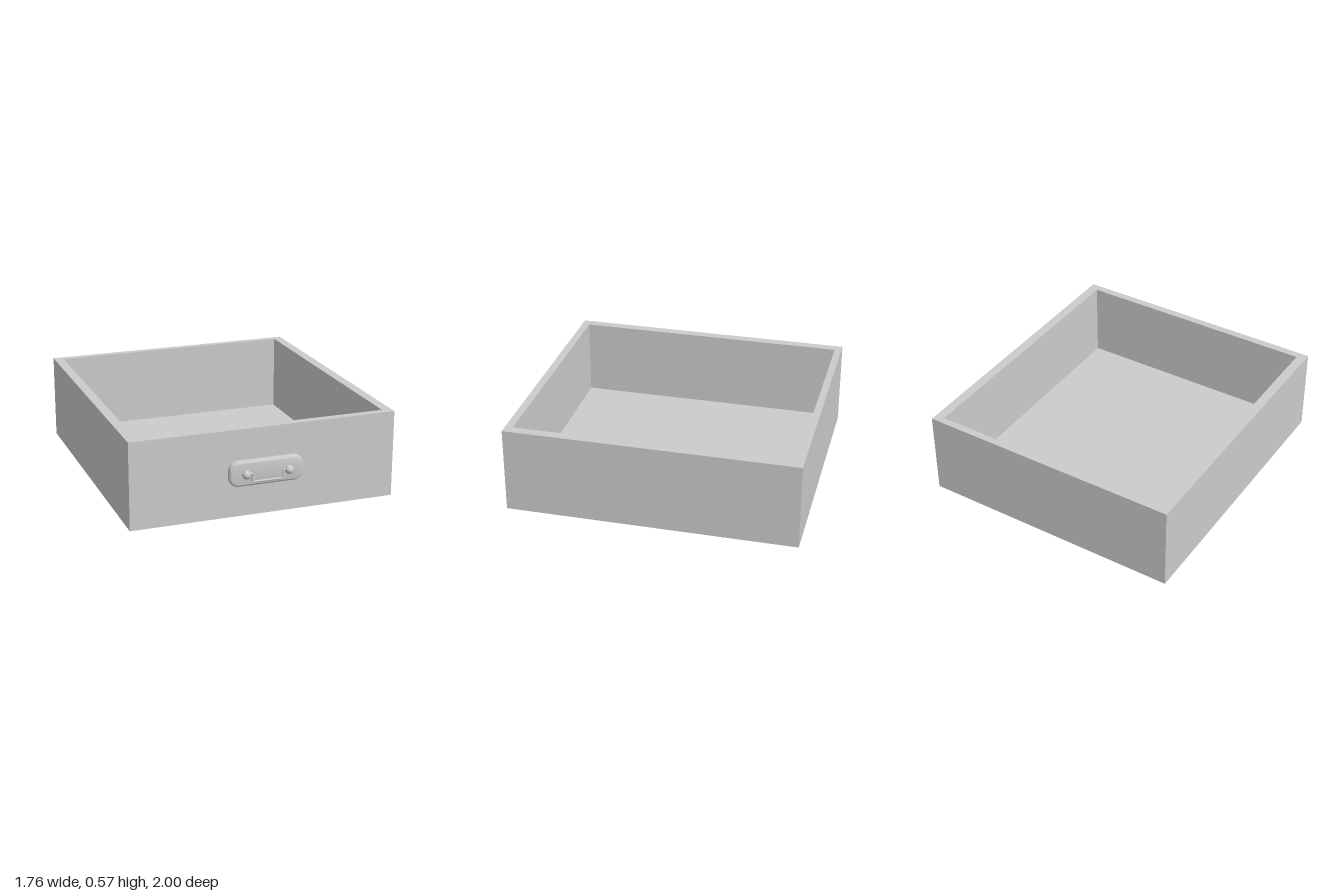
import * as THREE from 'three';
import { toCreasedNormals } from 'three/addons/utils/BufferGeometryUtils.js';

const material = new THREE.MeshStandardMaterial({ color: 0xcccccc });

function part(name, geometry) {
  const mesh = new THREE.Mesh(geometry, material);
  mesh.name = name;
  return mesh;
}

// One rectangular ring of corners at height y, counter-clockwise from above
const ring = (halfX, back, front, y) => [
  [-halfX, y, front], [halfX, y, front], [halfX, y, back], [-halfX, y, back],
];

// Open tray: rings run up the outside, over the rim and down the inside
function trayGeometry() {
  const outer = [0.882, -1, 0.922], inner = [0.818, -0.953, 0.87];
  const rings = [ring(...outer, 0), ring(...outer, 0.573), ring(...inner, 0.573), ring(...inner, 0.05)];
  const positions = [];
  const quad = (a, b, c, d) => positions.push(...a, ...b, ...c, ...a, ...c, ...d);
  for (let i = 0; i < 3; i++) {
    for (let j = 0; j < 4; j++) {
      const k = (j + 1) % 4;
      quad(rings[i][j], rings[i][k], rings[i + 1][k], rings[i + 1][j]);
    }
  }
  quad(...rings[3]);                 // floor
  quad(...[...rings[0]].reverse());  // underside
  const geometry = new THREE.BufferGeometry();
  geometry.setAttribute('position', new THREE.Float32BufferAttribute(positions, 3));
  geometry.computeVertexNormals();
  return geometry;
}

// Rounded plate with a soft front edge; its back edge is sunk in the drawer front
function plateGeometry() {
  const bevel = 0.016, w = 0.247 - bevel, h = 0.083 - bevel, r = 0.046;
  const shape = new THREE.Shape();
  shape.absarc(w - r, h - r, r, 0, Math.PI / 2);
  shape.absarc(-w + r, h - r, r, Math.PI / 2, Math.PI);
  shape.absarc(-w + r, -h + r, r, Math.PI, Math.PI * 1.5);
  shape.absarc(w - r, -h + r, r, Math.PI * 1.5, Math.PI * 2);
  shape.closePath();
  const geometry = new THREE.ExtrudeGeometry(shape, {
    depth: 0.03, bevelThickness: bevel, bevelSize: bevel, bevelSegments: 5, curveSegments: 10,
  });
  geometry.translate(0, 0, 0.957 - 0.03 - bevel);
  return toCreasedNormals(geometry, 0.7);
}

// Bail: a thin wire leaving each knob, bending down and running across
function bailGeometry() {
  const v = (x, y) => new THREE.Vector3(x, y, 0.974);
  const corners = [v(-0.142, 0.006), v(-0.102, 0.006), v(-0.102, -0.049),
    v(0.102, -0.049), v(0.102, 0.006), v(0.142, 0.006)];
  const path = new THREE.CurvePath();
  const bend = 0.012;
  let from = corners[0];
  for (let i = 1; i < corners.length - 1; i++) {
    const c = corners[i];
    const toward = (p) => c.clone().add(p.clone().sub(c).setLength(bend));
    const start = toward(corners[i - 1]), end = toward(corners[i + 1]);
    path.add(new THREE.LineCurve3(from, start));
    path.add(new THREE.QuadraticBezierCurve3(start, c, end));
    from = end;
  }
  path.add(new THREE.LineCurve3(from, corners[corners.length - 1]));
  return new THREE.TubeGeometry(path, 140, 0.007, 10);
}

export function createModel() {
  const model = new THREE.Group();
  model.name = 'drawer';
  model.add(part('tray', trayGeometry()));

  const handle = new THREE.Group();
  handle.name = 'handle';
  handle.position.y = 0.289;
  handle.add(part('backPlate', plateGeometry()), part('bail', bailGeometry()));

  // Round knobs that hold the bail
  for (const side of [-1, 1]) {
    const knob = part(side > 0 ? 'leftKnob' : 'rightKnob', new THREE.SphereGeometry(0.028, 24, 16));
    knob.position.set(side * 0.142, 0, 0.972);
    handle.add(knob);
  }
  model.add(handle);
  return model;
}
